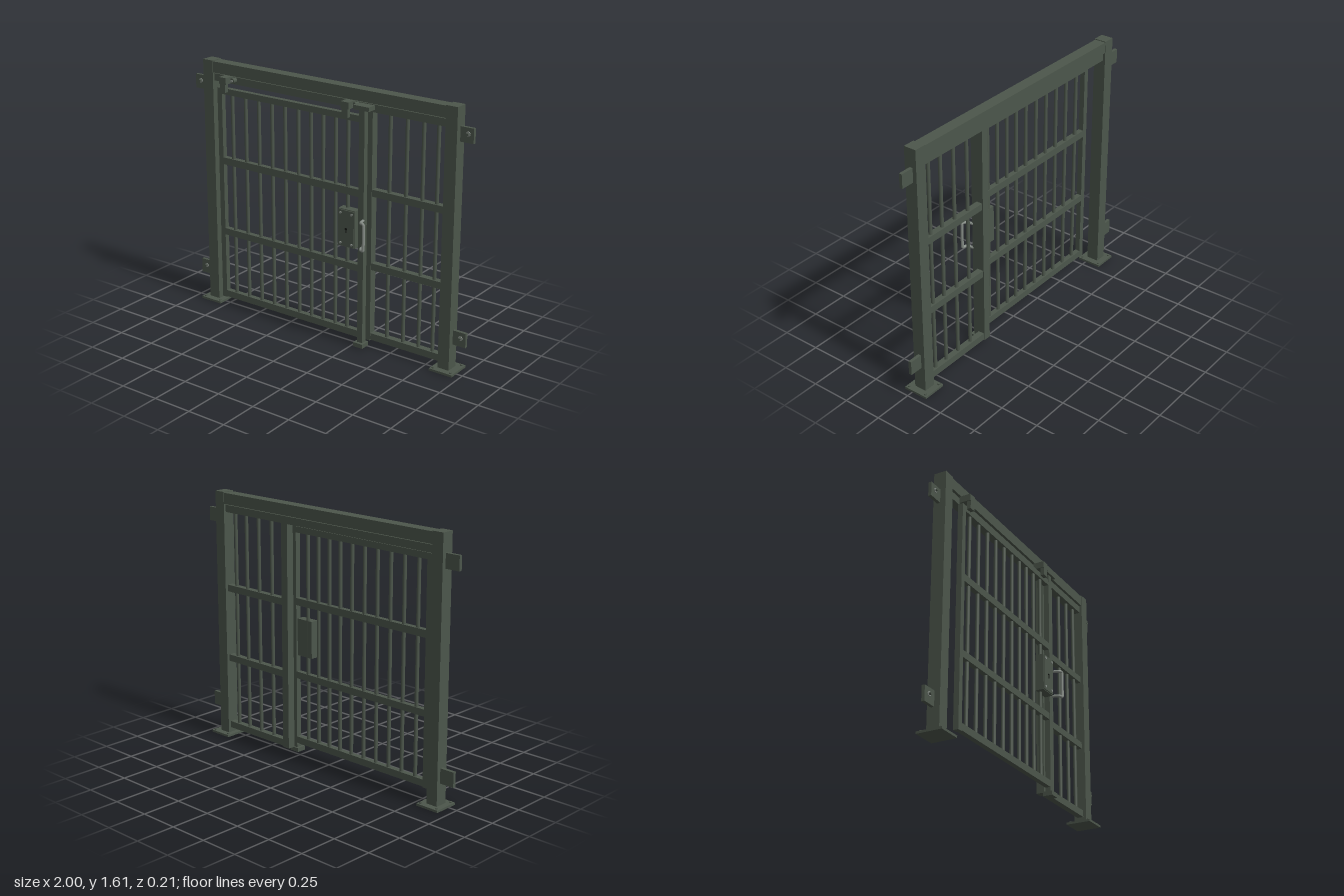
import * as THREE from 'three';

export function createModel() {
  const root = new THREE.Group();
  root.name = 'slidingBarGate';
  const mat = (name, color) => {
    const m = new THREE.MeshStandardMaterial({ color });
    m.name = name;
    return m;
  };
  const paint = mat('greenGreyPaint', 0x4c564b);
  const steel = mat('bareSteel', 0x858c86);
  const dark = mat('keyholeBlack', 0x151714);

  const group = (name) => {
    const g = new THREE.Group();
    g.name = name;
    root.add(g);
    return g;
  };
  // Box given by its limits on each axis
  const box = (parent, name, [x0, x1], [y0, y1], [z0, z1], m = paint) => {
    const mesh = new THREE.Mesh(new THREE.BoxGeometry(x1 - x0, y1 - y0, z1 - z0), m);
    mesh.position.set((x0 + x1) / 2, (y0 + y1) / 2, (z0 + z1) / 2);
    mesh.name = name;
    parent.add(mesh);
    return mesh;
  };
  // Cylinder along y or z, centred on a point
  const rod = (parent, name, r, len, pos, axis = 'y', m = paint, sides = 14) => {
    const geo = new THREE.CylinderGeometry(r, r, len, sides);
    if (axis === 'z') geo.rotateX(Math.PI / 2);
    const mesh = new THREE.Mesh(geo, m);
    mesh.position.set(...pos);
    mesh.name = name;
    parent.add(mesh);
    return mesh;
  };

  // Outer frame: posts, top beam and track rail
  const frame = group('frame');
  box(frame, 'leftPost', [0.84, 0.915], [0.01, 1.605], [-0.065, 0.015]);
  box(frame, 'rightPost', [-0.905, -0.83], [0.01, 1.605], [-0.065, 0.015]);
  box(frame, 'topBeam', [-0.83, 0.84], [1.53, 1.6], [-0.063, 0.011]);
  box(frame, 'trackRail', [-0.83, 0.84], [1.477, 1.523], [-0.05, 0.0]);

  // Base plates with anchor bolts
  for (const [name, cx] of [['leftBase', 0.8825], ['rightBase', -0.865]]) {
    const base = group(name);
    box(base, 'basePlate', [cx - 0.077, cx + 0.077], [0, 0.014], [-0.105, 0.055]);
    for (const sx of [-1, 1]) for (const sz of [-1, 1])
      rod(base, 'anchorBolt', 0.008, 0.008, [cx + sx * 0.06, 0.018, -0.025 + sz * 0.063], 'y', paint, 6);
  }

  // Wall lugs, each with one bolt
  const lugs = [
    [-1, -0.905, 1.402, 1.49], [-1, -0.905, 0.15, 0.243],
    [0.915, 1, 1.402, 1.49], [0.915, 1, 0.17, 0.26],
  ];
  for (const [x0, x1, y0, y1] of lugs) {
    const lug = group('wallLug');
    box(lug, 'lugPlate', [x0, x1], [y0, y1], [-0.04, -0.02]);
    const c = [x0 < 0 ? -0.958 : 0.966, (y0 + y1) / 2 + 0.008];
    rod(lug, 'lugWasher', 0.014, 0.005, [...c, -0.018], 'z', steel, 16);
    rod(lug, 'lugBolt', 0.008, 0.014, [...c, -0.011], 'z', paint, 6);
  }

  // Fixed panel beside the door
  const fixed = group('fixedPanel');
  box(fixed, 'mullion', [0.3, 0.35], [0.04, 1.477], [-0.05, 0.0]);
  for (const [y0, y1] of [[0.045, 0.088], [0.502, 0.545], [0.965, 1.008]])
    box(fixed, 'fixedRail', [0.35, 0.84], [y0, y1], [-0.045, -0.005]);
  for (const x of [0.457, 0.571, 0.68, 0.777])
    rod(fixed, 'fixedBar', 0.0115, 1.41, [x, 0.772, -0.025]);

  // Sliding door
  const door = group('slidingDoor');
  box(door, 'rearStile', [-0.768, -0.733], [0.06, 1.455], [0.015, 0.048]);
  box(door, 'leadingStile', [0.29, 0.328], [0.035, 1.492], [0.015, 0.05]);
  for (const [y0, y1] of [[0.065, 0.108], [0.495, 0.538], [0.965, 1.01], [1.418, 1.456]])
    box(door, 'doorRail', [-0.733, 0.29], [y0, y1], [0.015, 0.048]);
  for (const x of [-0.663, -0.559, -0.457, -0.356, -0.257, -0.158, -0.064, 0.024, 0.115, 0.203])
    rod(door, 'doorBar', 0.0115, 1.34, [x, 0.76, 0.031]);

  // Floor guide under the leading stile
  const guide = group('floorGuide');
  box(guide, 'guideBlock', [0.275, 0.341], [0.008, 0.035], [0.005, 0.068]);

  // Hangers: an arm over the track, a front strap and a roller
  for (const x of [-0.704, 0.205]) {
    const hanger = group('hanger');
    box(hanger, 'hangerArm', [x - 0.027, x + 0.027], [1.488, 1.53], [0.0, 0.074]);
    box(hanger, 'hangerStrap', [x - 0.021, x + 0.021], [1.437, 1.488], [0.048, 0.074]);
    rod(hanger, 'roller', 0.018, 0.03, [x + 0.038, 1.504, 0.015], 'z', paint, 20);
    rod(hanger, 'rollerPin', 0.008, 0.006, [x + 0.038, 1.504, 0.033], 'z', steel, 12);
  }
  box(group('doorStop'), 'stopBlock', [0.255, 0.364], [1.493, 1.519], [0.0, 0.062]);

  // Lock case with cover plate, screws and keyhole
  const lock = group('lock');
  box(lock, 'lockCase', [0.164, 0.284], [0.645, 0.88], [0.02, 0.072]);
  box(lock, 'lockCover', [0.168, 0.28], [0.649, 0.876], [0.072, 0.079]);
  for (const x of [0.184, 0.264]) for (const y of [0.668, 0.857])
    rod(lock, 'lockScrew', 0.008, 0.005, [x, y, 0.081], 'z', steel, 12);
  rod(lock, 'keyholeTop', 0.008, 0.002, [0.224, 0.76, 0.0795], 'z', dark, 16);
  box(lock, 'keyholeSlot', [0.2205, 0.2275], [0.735, 0.76], [0.0785, 0.0805], dark);

  // Pull handle bent from round bar
  const path = new THREE.CurvePath();
  const pts = [
    [0.322, 0.825, 0.045], [0.338, 0.825, 0.092], [0.36, 0.825, 0.1],
    [0.362, 0.812, 0.1], [0.362, 0.673, 0.1],
    [0.36, 0.66, 0.1], [0.338, 0.66, 0.092], [0.322, 0.66, 0.045],
  ].map((p) => new THREE.Vector3(...p));
  const curve = new THREE.CatmullRomCurve3(pts, false, 'centripetal');
  const handle = new THREE.Mesh(new THREE.TubeGeometry(curve, 60, 0.009, 12), steel);
  handle.name = 'pullHandle';
  root.add(handle);

  return root;
}
